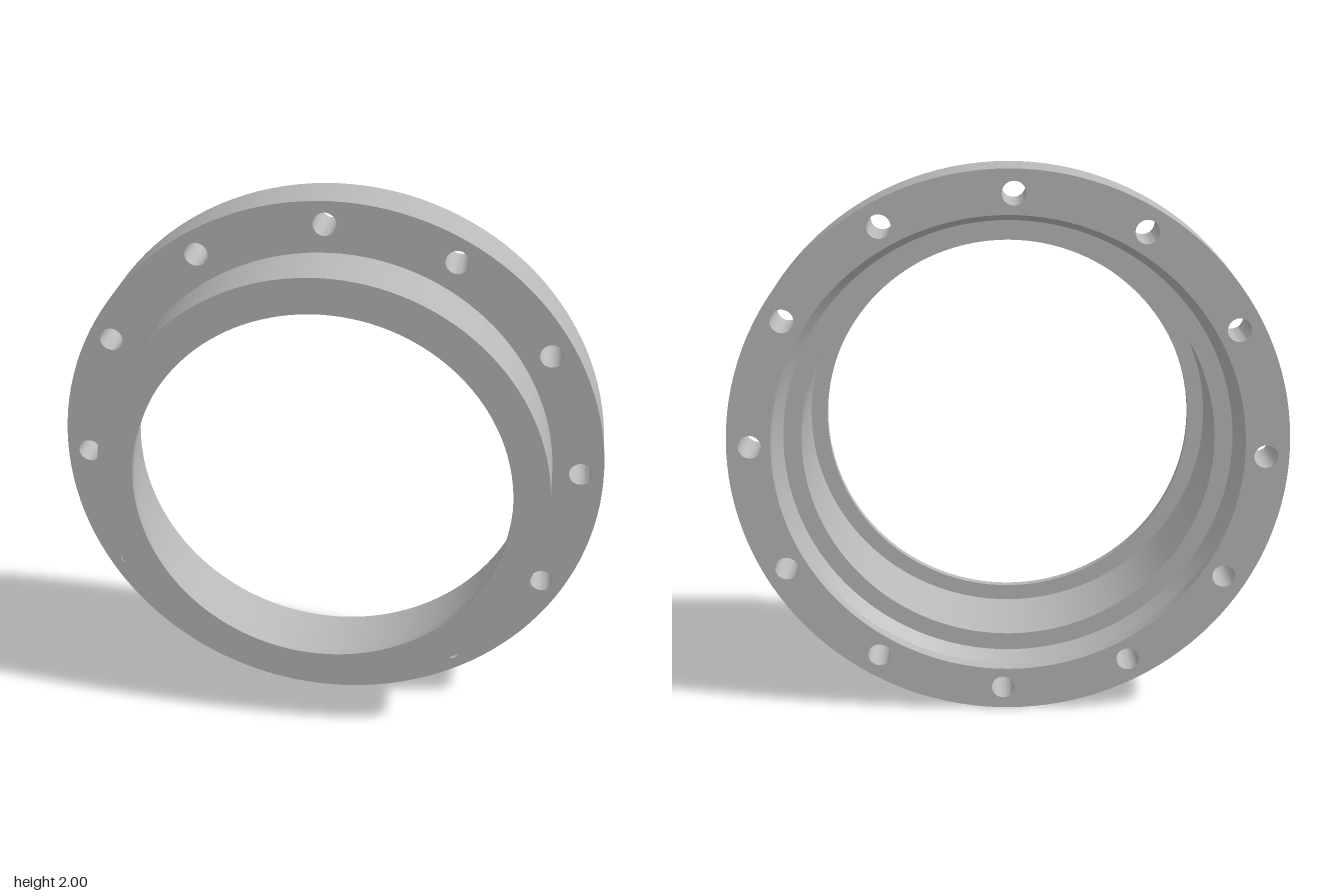
import * as THREE from 'three';
import { toCreasedNormals } from 'three/addons/utils/BufferGeometryUtils.js';

const SEGMENTS = 128;
const BACK = -0.225, SHOULDER = -0.02, FRONT = 0.228;
const RECESS = 0.843; // radius of the recess in the back face

// Points of a circle, without repeating the first one
function circle(radius, segments, cx = 0, cy = 0) {
  return Array.from({ length: segments }, (_, i) => {
    const a = (i / segments) * Math.PI * 2;
    return new THREE.Vector2(cx + radius * Math.cos(a), cy + radius * Math.sin(a));
  });
}

export function createModel() {
  const model = new THREE.Group();
  model.name = 'flangedRing';
  const steel = new THREE.MeshStandardMaterial({ color: 0xb8b8b8 });
  steel.name = 'grey steel';

  const add = (name, geometry) => {
    const mesh = new THREE.Mesh(toCreasedNormals(geometry, 0.4), steel);
    mesh.name = name;
    mesh.position.y = 1;
    model.add(mesh);
  };

  // Flange plate with twelve through holes, turned slightly off the vertical
  const plate = new THREE.Shape(circle(1, SEGMENTS));
  plate.holes.push(new THREE.Path(circle(RECESS, SEGMENTS)));
  for (let i = 0; i < 12; i++) {
    const a = THREE.MathUtils.degToRad(1.2 + i * 30);
    plate.holes.push(new THREE.Path(circle(0.042, 32, 0.917 * Math.cos(a), 0.917 * Math.sin(a))));
  }
  const flange = new THREE.ExtrudeGeometry(plate, { depth: SHOULDER - BACK, bevelEnabled: false });
  flange.translate(0, 0, BACK);
  add('flange', flange);

  // Hub: outer wall, front lip, main bore, ledge and chamfered recess (radius, z)
  const profile = [
    [RECESS, SHOULDER],
    [0.815, SHOULDER],
    [0.815, FRONT],
    [0.685, FRONT],
    [0.685, 0.2],
    [0.745, 0.2],
    [0.745, BACK + 0.1],
    [0.81, BACK + 0.1],
    [RECESS, BACK + 0.05],
  ].map(([r, z]) => new THREE.Vector2(r, z));
  const hub = new THREE.LatheGeometry(profile, SEGMENTS);
  hub.rotateX(Math.PI / 2);
  add('hub', hub);

  return model;
}
